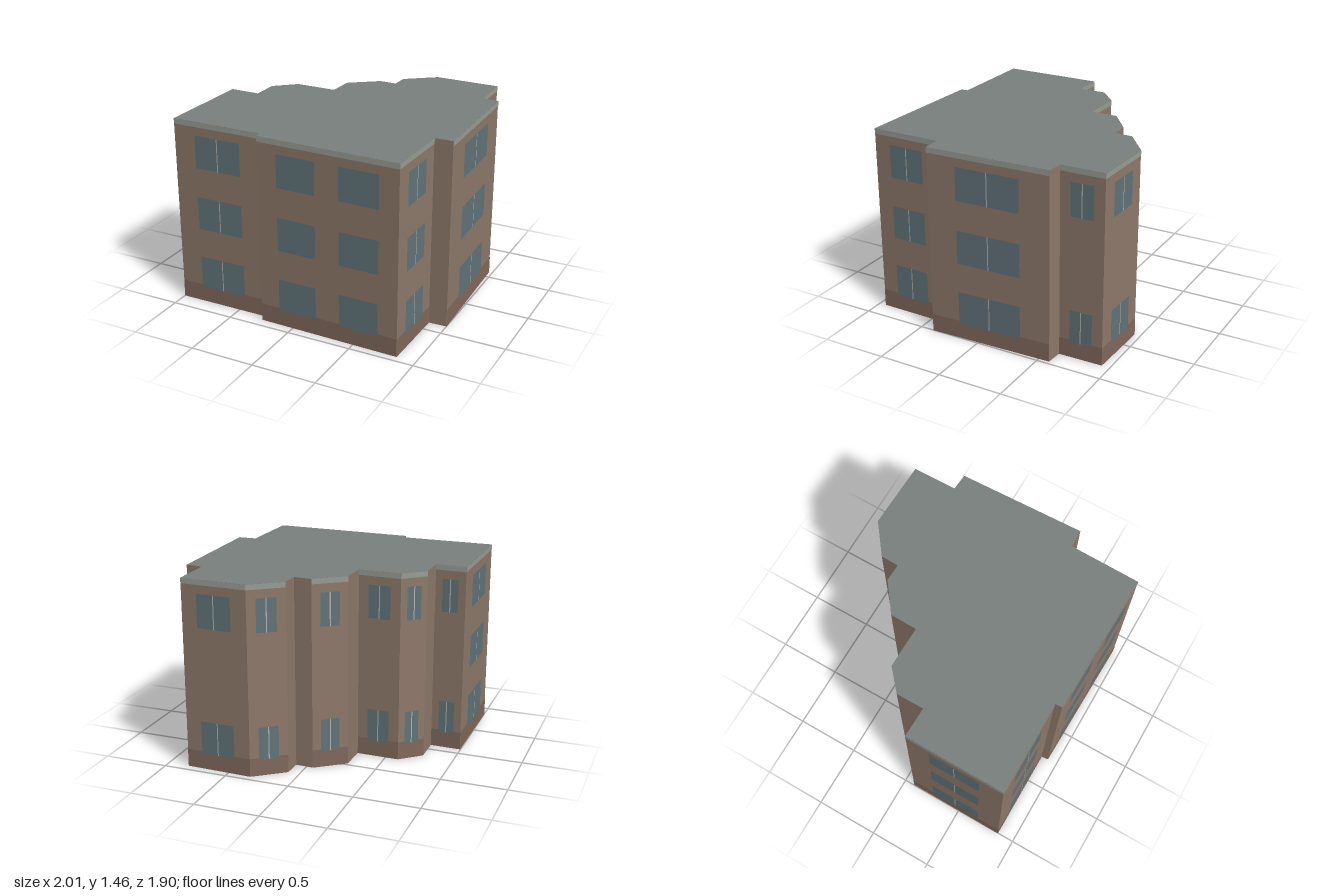
import * as THREE from 'three';
import { mergeGeometries } from 'three/addons/utils/BufferGeometryUtils.js';

const HEIGHT = 1.46, BASE_TOP = 0.14, FASCIA_BOTTOM = 1.42;

// Window rows, bottom and top height of each storey
const FLOORS = [[0.125, 0.38], [0.61, 0.87], [1.10, 1.355]];
const ALL = [0, 1, 2], OUTER = [0, 2];

// Footprint corners [x, z], each with the window rows of the wall that starts there
const WALLS = [
  [-1, 0.865, ALL],
  [-0.27, 0.865],
  [-0.265, 0.92, ALL, 'pair'],
  [0.85, 0.945, ALL],
  [0.86, 0.395],
  [1, 0.39, ALL],
  [0.97, -0.585],
  [0.84, -0.595, OUTER],
  [0.835, -0.935, OUTER],
  [0.32, -0.95, OUTER],
  [0.09, -0.775],
  [0.085, -0.635],
  [-0.05, -0.64, OUTER],
  [-0.27, -0.475],
  [-0.275, -0.265, OUTER],
  [-0.6, -0.27, OUTER],
  [-0.76, -0.13],
  [-0.76, 0.085, OUTER],
  [-0.995, 0.08, ALL],
];

// Upright rectangle on the wall a-b, from fraction t0 to t1, pushed outwards by `out`
function panel(a, b, t0, t1, y0, y1, out = 0) {
  const dx = b[0] - a[0], dz = b[1] - a[1], length = Math.hypot(dx, dz);
  const t = (t0 + t1) / 2;
  const g = new THREE.PlaneGeometry((t1 - t0) * length, y1 - y0);
  g.rotateY(Math.atan2(-dz, dx));
  return g.translate(
    a[0] + dx * t - (dz / length) * out,
    (y0 + y1) / 2,
    a[1] + dz * t + (dx / length) * out,
  );
}

export function createModel() {
  const group = new THREE.Group();
  const add = (name, geometry, color, side = THREE.FrontSide) => {
    const mesh = new THREE.Mesh(geometry, new THREE.MeshStandardMaterial({ color, side }));
    mesh.name = name;
    group.add(mesh);
  };

  const walls = [], plinth = [], fascia = [], windows = [], mullions = [];
  WALLS.forEach((a, i) => {
    const b = WALLS[(i + 1) % WALLS.length];
    const [, , rows, layout] = a;
    walls.push(panel(a, b, 0, 1, 0, HEIGHT));
    if (!rows) return; // short returns stay plain

    plinth.push(panel(a, b, 0, 1, 0, BASE_TOP, 0.002));
    fascia.push(panel(a, b, 0, 1, FASCIA_BOTTOM, HEIGHT, 0.002));

    const spans = layout === 'pair' ? [[0.14, 0.417], [0.587, 0.865]] : [[0.24, 0.76]];
    const bar = 0.004 / Math.hypot(b[0] - a[0], b[1] - a[1]);
    for (const row of rows) {
      const [y0, y1] = FLOORS[row];
      for (const [t0, t1] of spans) windows.push(panel(a, b, t0, t1, y0, y1, 0.004));
      if (layout !== 'pair') mullions.push(panel(a, b, 0.5 - bar, 0.5 + bar, y0, y1, 0.006));
    }
  });

  add('walls', mergeGeometries(walls), 0x8f7a6b, THREE.DoubleSide);
  add('plinth', mergeGeometries(plinth), 0x826a5d);
  add('roofFascia', mergeGeometries(fascia), 0x9b9f96);
  add('windows', mergeGeometries(windows), 0x62757b);
  add('windowMullions', mergeGeometries(mullions), 0xb4b6ae);

  // Flat roof over the footprint; the underside of the building stays open
  const outline = new THREE.Shape(WALLS.map(([x, z]) => new THREE.Vector2(x, -z)));
  const roof = new THREE.ShapeGeometry(outline).rotateX(-Math.PI / 2).translate(0, HEIGHT, 0);
  add('roof', roof, 0x7a817e, THREE.DoubleSide);

  return group;
}
